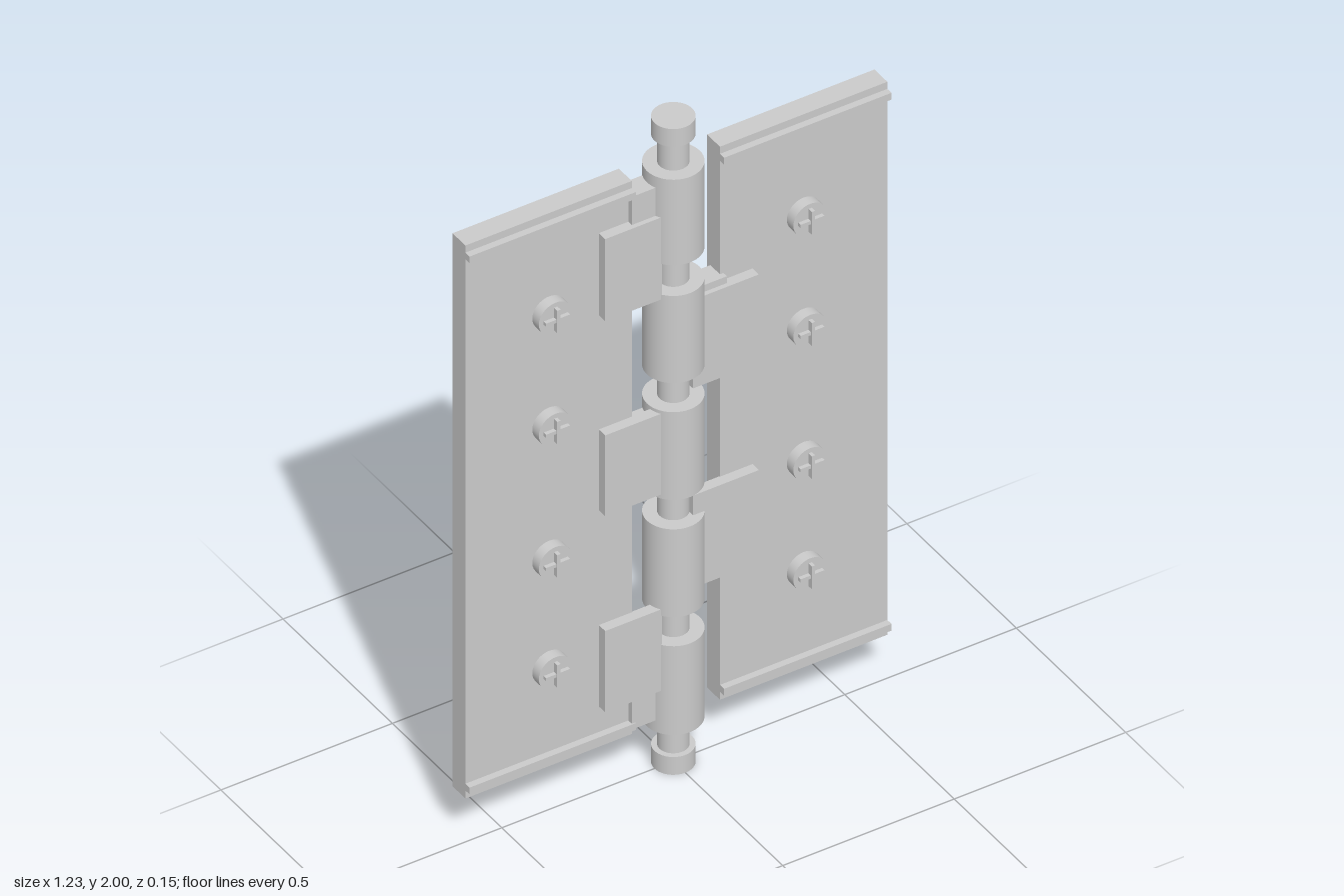
import * as THREE from 'three';

const material = new THREE.MeshStandardMaterial({ color: 0xcccccc });

export function createModel() {
  const hinge = new THREE.Group();
  hinge.name = 'hinge';

  const add = (parent, name, geometry) => {
    const mesh = new THREE.Mesh(geometry, material);
    mesh.name = name;
    parent.add(mesh);
    return mesh;
  };
  // Box given by its extents
  const box = (parent, name, x0, x1, y0, y1, z0, z1) => {
    const g = new THREE.BoxGeometry(Math.abs(x1 - x0), y1 - y0, z1 - z0);
    g.translate((x0 + x1) / 2, (y0 + y1) / 2, (z0 + z1) / 2);
    return add(parent, name, g);
  };
  // Upright cylinder given by its radius and height range
  const post = (parent, name, r, y0, y1) => {
    const g = new THREE.CylinderGeometry(r, r, y1 - y0, 48);
    g.translate(0, (y0 + y1) / 2, 0);
    return add(parent, name, g);
  };

  // Pin with a cap at each end
  post(hinge, 'pin', 0.04, 0.03, 1.97);
  post(hinge, 'bottomCap', 0.055, 0, 0.055);
  post(hinge, 'topCap', 0.055, 1.945, 2);

  // Cross-head screw
  const addScrew = (parent, x, y) => {
    const screw = new THREE.Group();
    screw.name = 'screw';
    screw.position.set(x, y, 0);
    const head = new THREE.CylinderGeometry(0.049, 0.049, 0.03, 32);
    head.rotateX(Math.PI / 2);
    head.translate(0, 0, 0.029);
    add(screw, 'screwHead', head);
    box(screw, 'crossBar', -0.035, 0.035, -0.005, 0.005, 0.04, 0.055);
    box(screw, 'crossBar', -0.005, 0.005, -0.035, 0.035, 0.04, 0.059);
    parent.add(screw);
  };

  // Each leaf: plate, edge rails, screws, knuckles, webs and overlapping tabs
  const leaves = [
    { name: 'rightLeaf', side: -1, inner: 0.13, tabIn: 0.06, tabOut: 0.226,
      knuckles: [[0.14, 0.415], [0.868, 1.14], [1.595, 1.86]],
      tabs: [[0.272, 0.524], [0.88, 1.13], [1.484, 1.738]] },
    { name: 'leftLeaf', side: 1, inner: 0.127, tabIn: 0.03, tabOut: 0.222,
      knuckles: [[0.505, 0.777], [1.23, 1.5]],
      tabs: [[0.563, 0.838], [1.17, 1.444]] },
  ];
  for (const { name, side, inner, tabIn, tabOut, knuckles, tabs } of leaves) {
    const leaf = new THREE.Group();
    leaf.name = name;
    hinge.add(leaf);
    box(leaf, 'plate', side * inner, side * 0.615, 0.147, 1.86, -0.045, 0.014);
    for (const y of [0.172, 1.817]) {
      box(leaf, 'rail', side * inner, side * 0.615, y, y + 0.021, 0.01, 0.033);
    }
    for (const y of [0.455, 0.796, 1.209, 1.553]) addScrew(leaf, side * 0.371, y);
    for (const [y0, y1] of knuckles) {
      post(leaf, 'knuckle', 0.077, y0, y1);
      box(leaf, 'web', side * 0.05, side * (inner + 0.01), y0 + 0.035, y1 - 0.035, -0.03, 0.03);
    }
    for (const [y0, y1] of tabs) {
      box(leaf, 'tab', side * tabIn, side * tabOut, y0, y1, 0.012, 0.043);
    }
  }
  return hinge;
}
